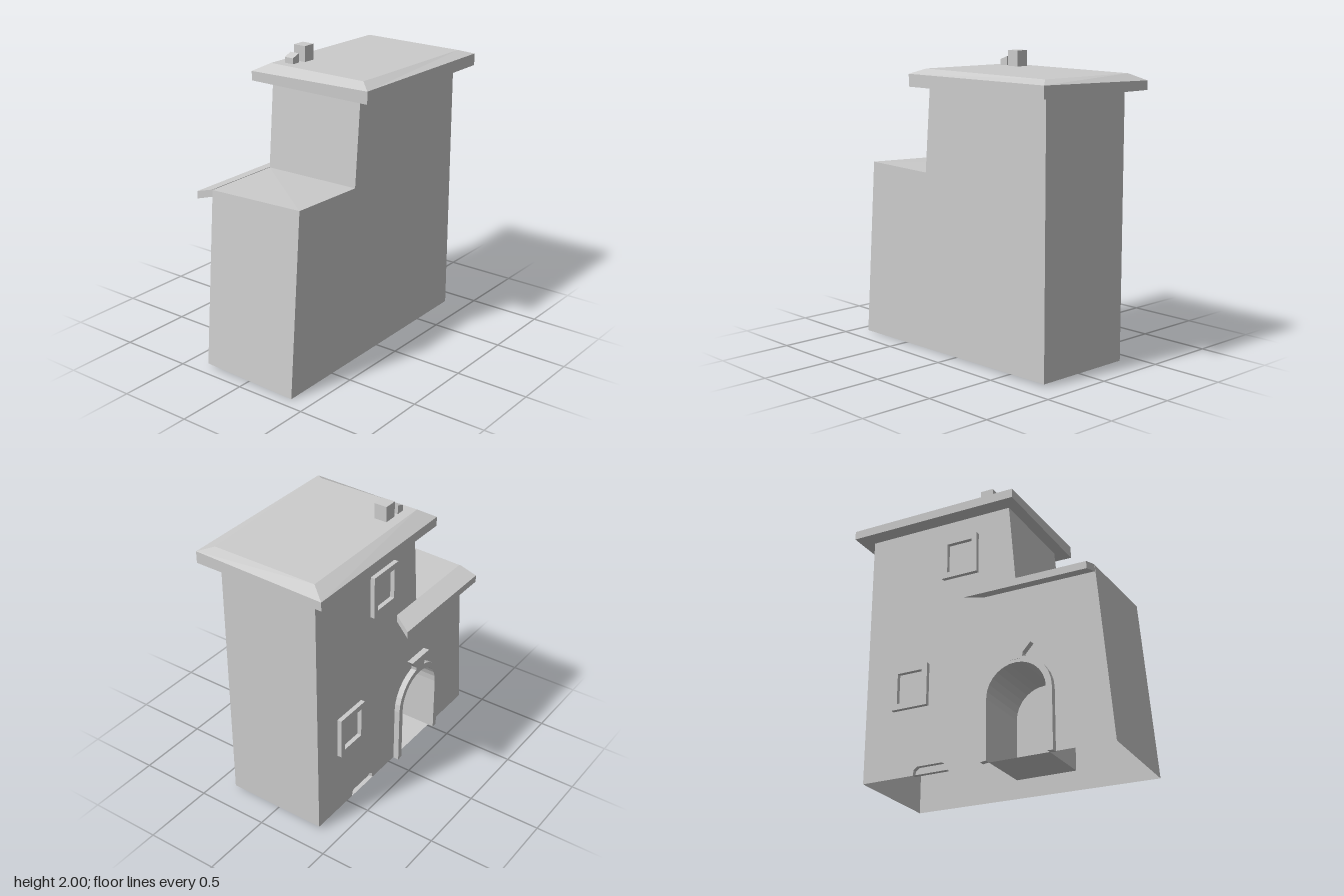
import * as THREE from 'three';

const WALL = -0.345, RIGHT = 0.36;
const solid = new THREE.MeshStandardMaterial({ color: 0xcccccc, flatShading: true });
const thin = new THREE.MeshStandardMaterial({ color: 0xcccccc, flatShading: true, side: THREE.DoubleSide });

// Joins rings of [x, y, z] points with flat faces, optionally capping both ends
function loft(rings, { closed = true, caps = true } = {}) {
  const pos = [];
  const tri = (a, b, c) => pos.push(...a, ...b, ...c);
  const n = rings[0].length;
  for (let r = 0; r < rings.length - 1; r++) {
    const a = rings[r], b = rings[r + 1];
    for (let i = 0; i < (closed ? n : n - 1); i++) {
      const j = (i + 1) % n;
      tri(a[i], a[j], b[j]);
      tri(a[i], b[j], b[i]);
    }
  }
  if (caps) {
    const first = rings[0], last = rings[rings.length - 1];
    for (let i = 1; i < n - 1; i++) {
      tri(first[0], first[i + 1], first[i]);
      tri(last[0], last[i], last[i + 1]);
    }
  }
  const geo = new THREE.BufferGeometry();
  geo.setAttribute('position', new THREE.Float32BufferAttribute(pos, 3));
  geo.computeVertexNormals();
  return geo;
}

// Horizontal four-cornered ring; heights run front-left round to back-left
const rect = (x0, x1, z0, z1, [a, b, c, d]) => [[x0, a, z1], [x1, b, z1], [x1, c, z0], [x0, d, z0]];
const flat = (y) => [y, y, y, y];
const shapeOf = (pts) => new THREE.Shape(pts.map(([z, y]) => new THREE.Vector2(z, y)));
const atX = (pts, x) => pts.map(([z, y]) => [x, y, z]);

// Places a (z, y) drawing on the doorway side, facing -x
const onSide = (geo, x = WALL) => geo.rotateY(-Math.PI / 2).translate(x, 0, 0);
const extrude = (shape, depth) => onSide(new THREE.ExtrudeGeometry(shape, { depth, bevelEnabled: false }));

// Arch outline from the front foot over the top to the back foot
function archPoints(mid, radius, spring, base) {
  const pts = [[mid + radius, base]];
  for (let i = 0; i <= 14; i++) {
    const t = (i / 14) * Math.PI;
    pts.push([mid + radius * Math.cos(t), spring + radius * Math.sin(t)]);
  }
  pts.push([mid - radius, base]);
  return pts;
}

export function createModel() {
  const model = new THREE.Group();
  const add = (name, geo, mat = solid) => {
    const mesh = new THREE.Mesh(geo, mat);
    mesh.name = name;
    model.add(mesh);
    return mesh;
  };

  const arch = archPoints(0.285, 0.205, 0.425, 0.02);
  const drain = [[-0.22, 0.02], [-0.225, 0.055], [-0.25, 0.075], [-0.43, 0.075], [-0.455, 0.055], [-0.46, 0.02]];

  // Stepped body, open underneath
  const left = [[0.92, 0.02], [0.82, 1.2], [0.27, 1.2], [0.22, 1.79], [-0.83, 1.79], [-0.83, 0.02]];
  const right = [[0.92, 0], [0.82, 1.225], [0.27, 1.21], [0.22, 1.79], [-0.83, 1.79], [-0.83, 0.02]];
  add('bodyShell', loft([atX(right, RIGHT), atX(left, WALL)], { closed: false, caps: false }), thin);
  add('plainSideWall',
    new THREE.ShapeGeometry(shapeOf(right.map(([z, y]) => [-z, y]))).rotateY(Math.PI / 2).translate(RIGHT, 0, 0), thin);
  // The doorway and the drain are cut from the bottom edge of this wall
  const outline = [...left, ...[...drain].reverse(), ...[...arch].reverse()];
  add('doorwayWall', onSide(new THREE.ShapeGeometry(shapeOf(outline))), thin);

  // Recesses behind the openings
  const recess = (name, pts, depth) => {
    add(name + 'Lining', loft([atX(pts, WALL), atX(pts, WALL + depth)], { caps: false }), thin);
    add(name + 'Back', onSide(new THREE.ShapeGeometry(shapeOf(pts)), WALL + depth), thin);
  };
  recess('doorway', arch, 0.38);
  recess('drain', drain, 0.03);

  // Door surround and keystone
  const outer = archPoints(0.285, 0.245, 0.425, 0.015);
  add('doorSurround', extrude(shapeOf([...outer, ...[...arch].reverse()]), 0.04));
  add('keystone', extrude(shapeOf([[0.24, 0.65], [0.33, 0.65], [0.335, 0.69], [0.39, 0.75], [0.185, 0.75], [0.235, 0.69]]), 0.042));

  // Window frames
  const windows = [['lowerWindowFrame', -0.62, 0.475], ['upperWindowFrame', -0.265, 1.35]];
  for (const [name, z, y] of windows) {
    const w = 0.26, h = 0.29, b = 0.04;
    const frame = shapeOf([[z, y], [z + w, y], [z + w, y + h], [z, y + h]]);
    frame.holes.push(shapeOf([[z + b, y + b], [z + b, y + h - b], [z + w - b, y + h - b], [z + w - b, y + b]]));
    add(name, extrude(frame, 0.03));
  }

  // Sloping awning that continues the terrace over the doorway
  const awningRing = (inner, outerY) =>
    [[-0.478, outerY, 0.82], [WALL, inner, 0.82], [WALL, inner, 0.04], [-0.478, outerY, -0.035]];
  add('awning', loft([awningRing(1.155, 1.113), awningRing(1.203, 1.163)]));

  // Hipped roof slab
  add('roof', loft([
    rect(-0.457, 0.47, -0.92, 0.3, flat(1.78)),
    rect(-0.457, 0.47, -0.92, 0.3, [1.843, 1.863, 1.86, 1.84]),
    rect(-0.355, 0.385, -0.845, 0.225, [1.897, 1.897, 1.886, 1.886]),
  ]));

  // Chimneys
  add('tallChimney', loft([rect(-0.29, -0.2, -0.02, 0.07, flat(1.86)), rect(-0.29, -0.2, -0.02, 0.07, flat(2))]));
  add('shortChimney', loft([
    rect(-0.29, -0.222, 0.105, 0.165, flat(1.86)),
    rect(-0.29, -0.222, 0.105, 0.165, [1.935, 1.935, 1.957, 1.957]),
  ]));

  return model;
}
